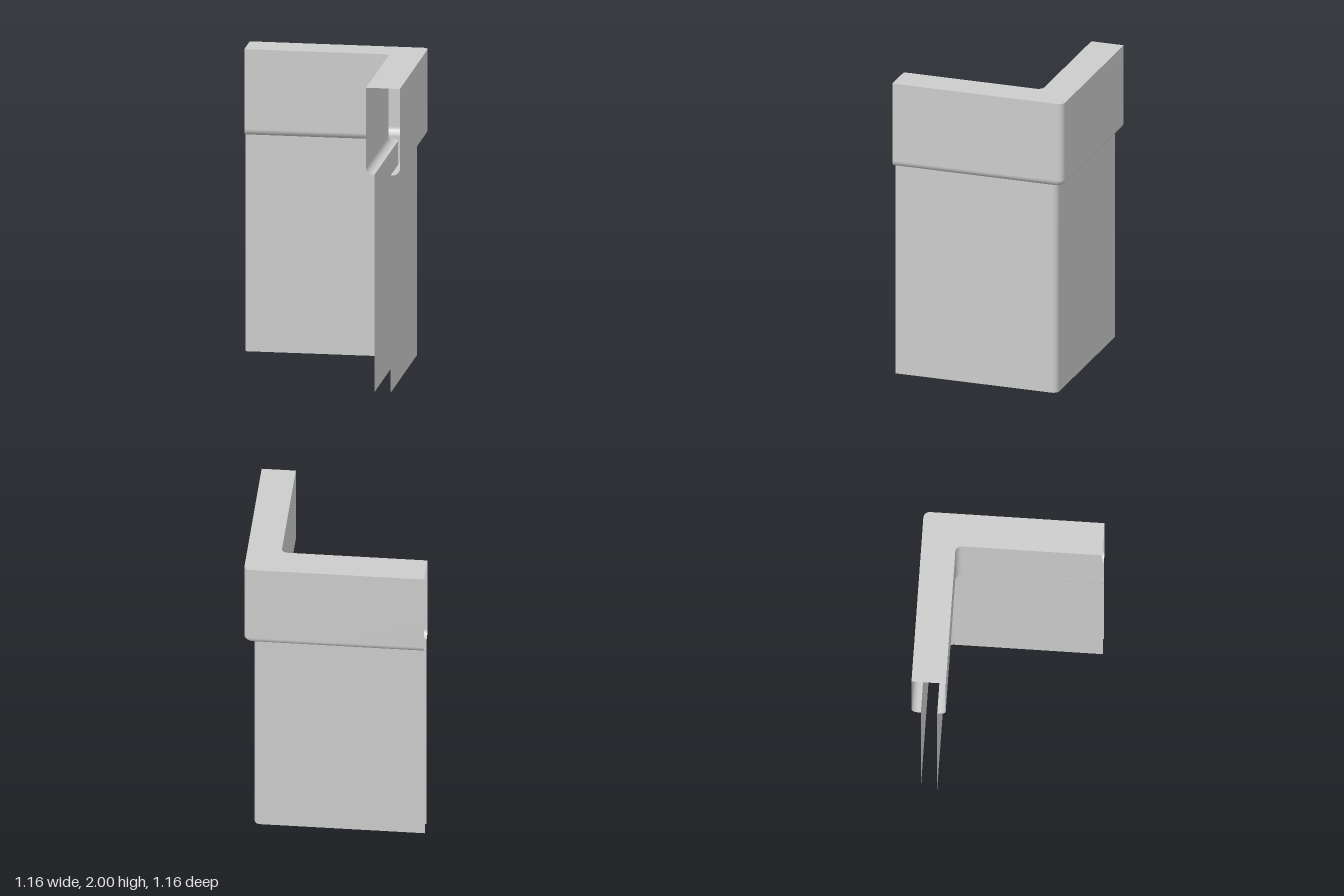
import * as THREE from 'three';

const END = 0.58;      // where both legs of the L stop
const CORNER = 0.04;   // plan radius of the bend
const FILLET = 0.045;  // rounding under the cap
const SEGS = 10;

// Points of the L in plan: back leg, rounded bend, side leg
function planPath(o) {
  const pts = [[-END, -o]];
  for (let i = 0; i <= SEGS; i++) {
    const a = (i / SEGS) * Math.PI / 2;
    pts.push([o - CORNER + CORNER * Math.sin(a), -(o - CORNER) - CORNER * Math.cos(a)]);
  }
  pts.push([o, END]);
  return pts;
}

// Sweep a profile of [offset, height] points along the L
function sweep(name, profile, material) {
  const pos = [], index = [];
  const n = SEGS + 3;
  profile.forEach(([o, y], i) => {
    planPath(o).forEach(([x, z], j) => {
      pos.push(x, y, z);
      if (i < profile.length - 1 && j < n - 1) {
        const a = i * n + j, b = a + 1, c = a + n, d = c + 1;
        index.push(a, c, b, b, c, d);
      }
    });
  });
  const geo = new THREE.BufferGeometry();
  geo.setAttribute('position', new THREE.Float32BufferAttribute(pos, 3));
  geo.setIndex(index);
  geo.computeVertexNormals();
  const mesh = new THREE.Mesh(geo, material);
  mesh.name = name;
  return mesh;
}

// Lip, fillet and upright face of the cap; dir is +1 outside, -1 inside
function capProfile(wall, face, dir) {
  const pts = [[wall, 1.43]];
  for (let i = 0; i <= 8; i++) {
    const a = (i / 8) * Math.PI / 2;
    pts.push([face - dir * FILLET * (1 - Math.sin(a)), 1.43 + FILLET * (1 - Math.cos(a))]);
  }
  pts.push([face, 2]);
  return pts;
}

export function createModel() {
  const group = new THREE.Group();
  group.name = 'cornerWall';
  const mat = new THREE.MeshStandardMaterial({ color: 0xcccccc, side: THREE.DoubleSide });

  // Thin hollow shell, open at both ends and underneath
  group.add(
    sweep('outerWall', [[0.52, 0], [0.52, 1.43]], mat),
    sweep('outerCap', capProfile(0.52, 0.58, 1), mat),
    sweep('capTop', [[0.58, 2], [0.36, 2]], mat),
    sweep('innerCap', capProfile(0.415, 0.36, -1).reverse(), mat),
    sweep('innerWall', [[0.415, 1.43], [0.415, 0]], mat),
  );
  return group;
}
